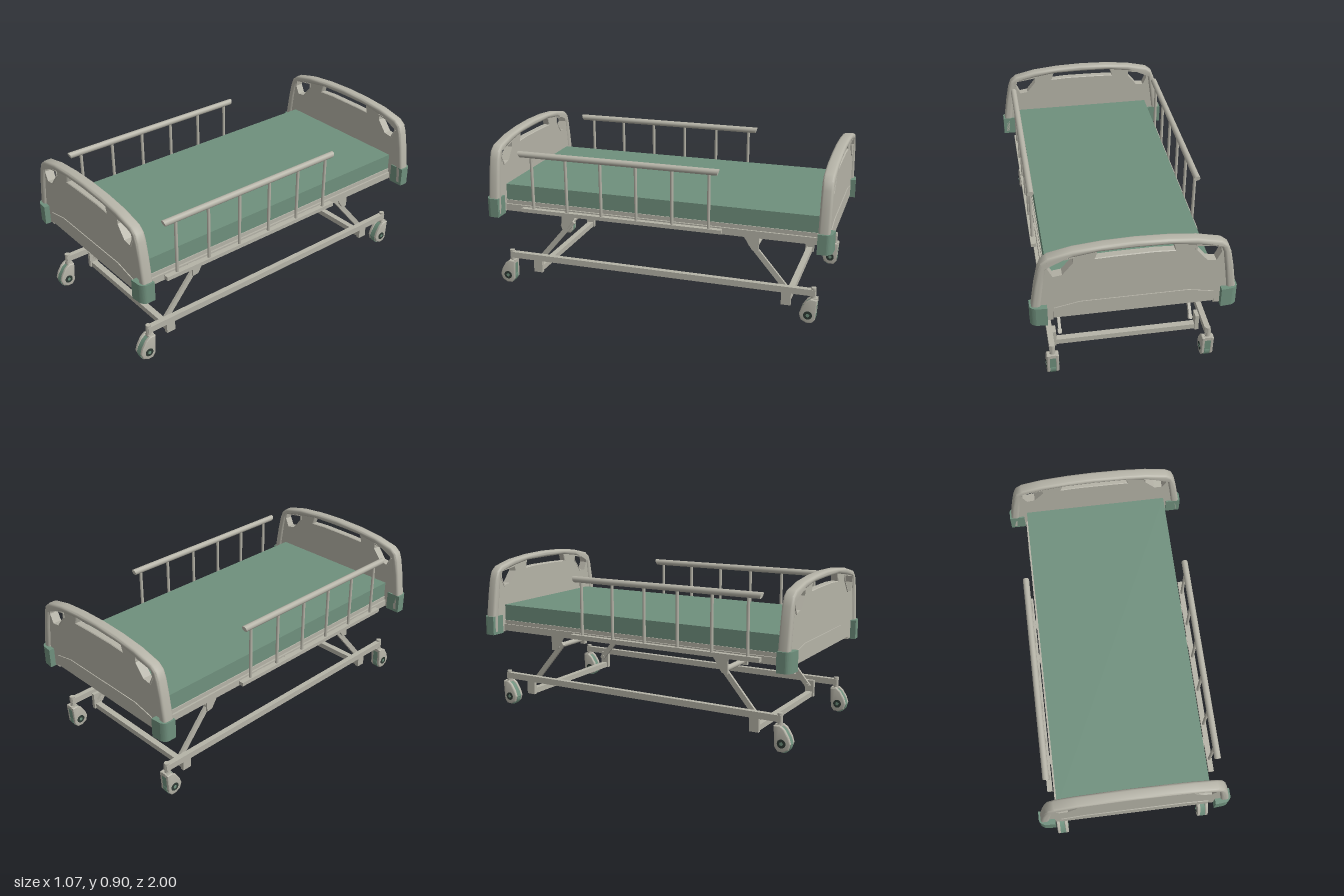
import * as THREE from 'three';
import { toCreasedNormals } from 'three/addons/utils/BufferGeometryUtils.js';

const beige = new THREE.MeshStandardMaterial({ color: 0xb5b3a7 });
beige.name = 'warm grey enamel';
const green = new THREE.MeshStandardMaterial({ color: 0x6f907d });
green.name = 'sage green';
const dark = new THREE.MeshStandardMaterial({ color: 0x2e3a34 });
dark.name = 'dark hub';

const SIDES = [-1, 1];

function add(parent, name, geo, mat, x = 0, y = 0, z = 0) {
  const m = new THREE.Mesh(geo, mat);
  m.name = name;
  m.position.set(x, y, z);
  parent.add(m);
  return m;
}

// Box given by its size and centre
const box = (p, name, mat, w, h, d, x, y, z) =>
  add(p, name, new THREE.BoxGeometry(w, h, d), mat, x, y, z);

// Round bar along 'x', 'y' or 'z'
function bar(p, name, mat, axis, r, len, x, y, z, sides = 16) {
  const g = new THREE.CylinderGeometry(r, r, len, sides);
  if (axis === 'x') g.rotateZ(Math.PI / 2);
  if (axis === 'z') g.rotateX(Math.PI / 2);
  return add(p, name, g, mat, x, y, z);
}

const shapeOf = (pts) => new THREE.Shape(pts.map(([a, b]) => new THREE.Vector2(a, b)));
const mirrorX = (pts) => pts.map(([a, b]) => [-a, b]).reverse();

// Extrusion centred on its depth, with a bevel that stays inside the outline
function slab(shape, depth, bevel = 0, segs = 3) {
  const g = new THREE.ExtrudeGeometry(shape, {
    depth: depth - 2 * bevel, bevelEnabled: bevel > 0, bevelThickness: bevel,
    bevelSize: bevel, bevelOffset: -bevel, bevelSegments: segs,
  });
  g.translate(0, 0, -(depth - 2 * bevel) / 2);
  return toCreasedNormals(g, 0.6);
}

// Same, for a (z, y) outline extruded along x
const sideSlab = (pts, depth, bevel = 0) => slab(shapeOf(pts), depth, bevel).rotateY(-Math.PI / 2);

function endBoard() {
  const g = new THREE.Group();
  const outer = [[0.533, 0.447], [0.525, 0.557], [0.505, 0.69], [0.487, 0.78], [0.47, 0.825],
    [0.435, 0.853], [0.31, 0.882], [0.16, 0.897]];
  const inner = [[0.485, 0.447], [0.478, 0.557], [0.46, 0.69], [0.446, 0.785], [0.43, 0.82],
    [0.31, 0.845], [0.186, 0.864]];

  // Rounded rim around the top and sides
  const rim = [...outer, [0, 0.902], ...mirrorX(outer), ...mirrorX(inner).reverse().map((p) => p)];
  const loop = [...outer, [0, 0.902], ...mirrorX(outer), ...inner.map(([a, b]) => [-a, b]), [0, 0.868], ...inner.slice().reverse()];
  add(g, 'boardRim', slab(shapeOf(rim.length ? loop : rim), 0.062, 0.014), beige, 0, 0, 0.949);

  // Panel with two hand holes and a middle slot
  const body = [[0.415, 0.468], [0.415, 0.447], [0.515, 0.447], [0.508, 0.557], [0.487, 0.69],
    [0.468, 0.785], [0.445, 0.83], [0.31, 0.868], [0.16, 0.885]];
  const panel = shapeOf([...body, ...mirrorX(body)]);
  const grip = [[0.43, 0.82], [0.31, 0.838], [0.31, 0.81], [0.365, 0.742], [0.412, 0.735], [0.436, 0.785]];
  const slot = [[0.186, 0.866], [0.2, 0.82], [0.1, 0.826], [-0.1, 0.824], [-0.2, 0.82], [-0.186, 0.866]];
  for (const hole of [grip, mirrorX(grip), slot]) panel.holes.push(shapeOf(hole));
  add(g, 'boardPanel', slab(panel, 0.042, 0.004, 1), beige, 0, 0, 0.947);

  // Raised lip around each hand hole
  for (const pts of [grip, mirrorX(grip)]) {
    const cx = pts.reduce((s, p) => s + p[0], 0) / pts.length;
    const cy = pts.reduce((s, p) => s + p[1], 0) / pts.length;
    const lip = shapeOf(pts.map(([a, b]) => [cx + (a - cx) * 1.13, cy + (b - cy) * 1.15]));
    lip.holes.push(shapeOf(pts));
    add(g, 'gripLip', slab(lip, 0.05), beige, 0, 0, 0.948);
  }

  // Lower apron
  const apron = [[0.415, 0.468], [0.412, 0.53], [0.28, 0.557]];
  add(g, 'boardApron', slab(shapeOf([...apron, ...mirrorX(apron)]), 0.05), beige, 0, 0, 0.948);

  // Corner bumpers, rounded on the outside
  for (const s of SIDES) {
    const b = new THREE.Shape();
    b.moveTo(s * 0.447, 0.918);
    b.lineTo(s * 0.535, 0.918);
    b.lineTo(s * 0.535, 0.965);
    b.quadraticCurveTo(s * 0.533, 0.985, s * 0.505, 0.995);
    b.lineTo(s * 0.447, 1.0);
    const geo = new THREE.ExtrudeGeometry(b, { depth: 0.111, bevelEnabled: false });
    geo.rotateX(Math.PI / 2);
    add(g, 'cornerBumper', geo, green, 0, 0.556, 0);
  }
  return g;
}

function sideRail(s) {
  const g = new THREE.Group();
  g.name = 'sideRail';
  const x = s * 0.461;
  const grip = bar(g, 'railGrip', beige, 'z', 0.018, 1.18, x, 0.817, 0.217);
  // Slant both ends so the underside is shorter
  const p = grip.geometry.attributes.position;
  for (let i = 0; i < p.count; i++) p.setZ(i, p.getZ(i) - Math.sign(p.getZ(i)) * 0.4 * (0.018 - p.getY(i)) * 0.9);
  for (let i = 0; i < 6; i++) bar(g, 'railPost', beige, 'y', 0.009, 0.325, x, 0.648, 0.727 - i * 0.2087, 10);
  box(g, 'railFoot', beige, 0.03, 0.022, 1.19, x, 0.484, 0.205);
  for (const z of [0.62, 0, -0.22]) box(g, 'railClamp', beige, 0.04, 0.016, 0.05, s * 0.44, 0.484, z);
  return g;
}

function caster() {
  const g = new THREE.Group();
  g.name = 'caster';
  const cover = [[-0.025, 0.145], [0.01, 0.148], [0.035, 0.13], [0.06, 0.09], [0.071, 0.055],
    [0.06, 0.022], [0.03, 0.006], [0, 0.007], [-0.018, 0.03]];
  const core = cover.map(([z, y]) => [z * 0.98 + 0.001, y * 0.93]);
  add(g, 'casterWheelGuard', sideSlab(core, 0.034), green);
  bar(g, 'casterWheel', green, 'x', 0.045, 0.03, 0, 0.045, 0.024, 24);
  for (const s of SIDES) {
    add(g, 'casterCover', sideSlab(cover, 0.019, 0.006), beige, s * 0.0235);
    bar(g, 'casterHub', dark, 'x', 0.024, 0.004, s * 0.0325, 0.053, 0.022, 20);
    bar(g, 'casterAxle', green, 'x', 0.01, 0.006, s * 0.0335, 0.053, 0.022, 8);
  }
  box(g, 'casterNeck', beige, 0.034, 0.02, 0.036, 0, 0.138, -0.006);
  bar(g, 'casterStem', beige, 'y', 0.0145, 0.07, 0, 0.173, 0, 14);
  return g;
}

// Lifting linkage at one end of the bed
function linkage() {
  const g = new THREE.Group();
  const plate = [[0.585, 0.462], [0.49, 0.462], [0.55, 0.37], [0.585, 0.366]];
  for (const s of SIDES) {
    add(g, 'hingePlate', sideSlab(plate, 0.01), beige, s * 0.397);
    const dy = 0.265, dz = 0.225;
    const link = box(g, 'liftLink', beige, 0.016, Math.hypot(dy, dz), 0.03, s * 0.366, 0.2725, 0.64);
    link.rotation.x = -Math.atan2(dz, dy);
    bar(g, 'linkPin', beige, 'x', 0.014, 0.022, s * 0.366, 0.15, 0.742, 10);
    box(g, 'basePost', beige, 0.022, 0.1, 0.054, s * 0.4, 0.125, 0.747);
    box(g, 'actuatorBracket', beige, 0.025, 0.11, 0.03, s * 0.118, 0.412, 0.555);
  }
  bar(g, 'liftRod', beige, 'x', 0.015, 0.8, 0, 0.387, 0.56);
  bar(g, 'bracketRod', beige, 'x', 0.01, 0.22, 0, 0.446, 0.555);
  box(g, 'bracketPlate', beige, 0.3, 0.01, 0.05, 0, 0.461, 0.555);
  box(g, 'baseCrossbar', beige, 0.8, 0.032, 0.035, 0, 0.091, 0.747);
  return g;
}

export function createModel() {
  const bed = new THREE.Group();
  bed.name = 'adjustableBed';

  box(bed, 'mattress', green, 0.85, 0.094, 1.83, 0, 0.57, 0);
  box(bed, 'deck', beige, 0.86, 0.053, 1.83, 0, 0.4965, 0);

  for (const s of SIDES) {
    box(bed, 'deckSideBeam', beige, 0.03, 0.04, 1.83, s * 0.425, 0.48, 0);
    box(bed, 'baseRail', beige, 0.03, 0.036, 1.82, s * 0.425, 0.179, 0);
    bed.add(sideRail(s));
    for (const z of [0.903, -0.9]) {
      const c = caster();
      c.position.set(s * 0.425, 0, z);
      bed.add(c);
    }
  }

  for (const end of [0, 1]) {
    const board = endBoard();
    board.name = end ? 'headboard' : 'footboard';
    const lift = linkage();
    lift.name = end ? 'rearLinkage' : 'frontLinkage';
    board.rotation.y = lift.rotation.y = end * Math.PI;
    bed.add(board, lift);
  }
  return bed;
}
